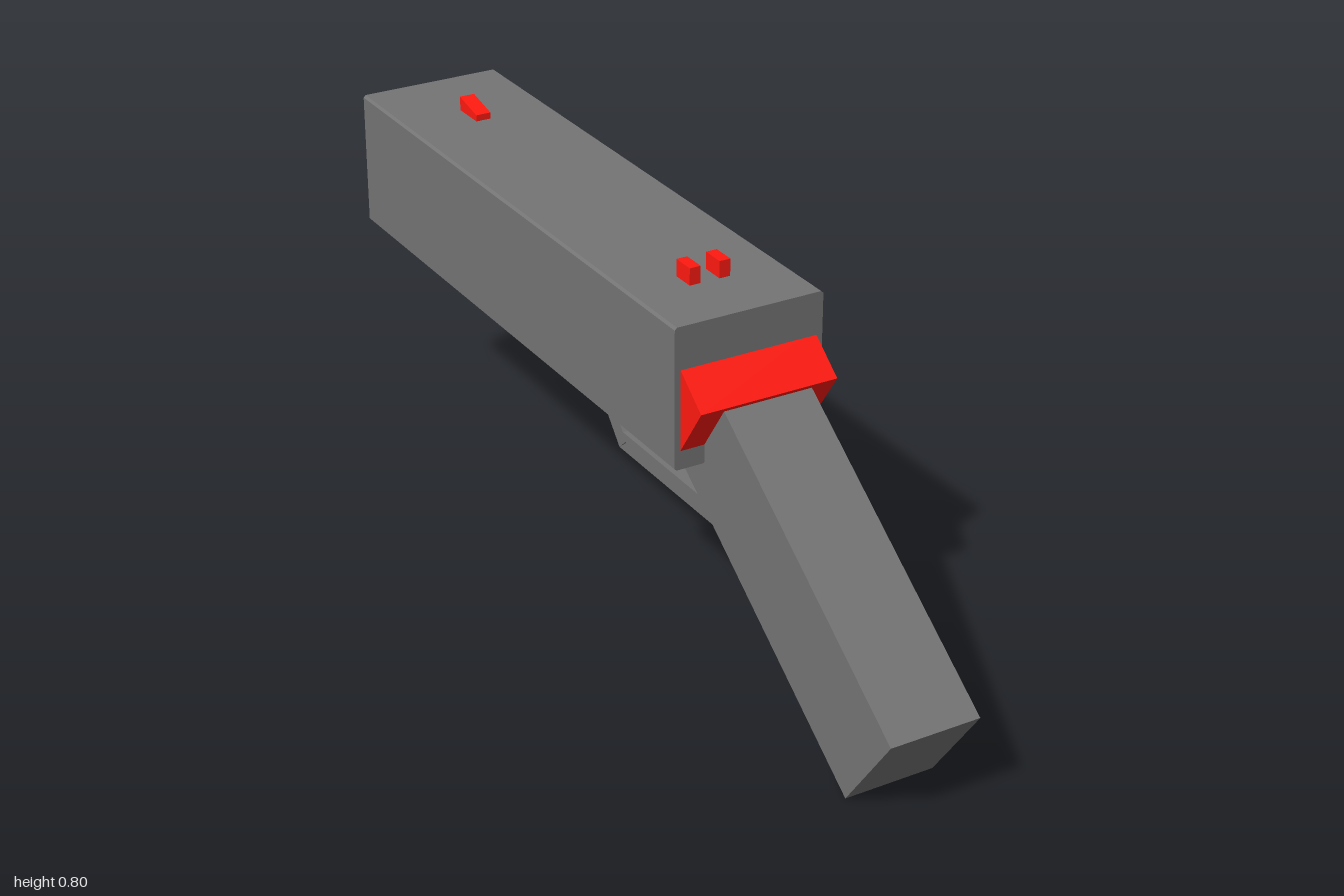
import * as THREE from 'three';

const material = (color) => new THREE.MeshStandardMaterial({ color, flatShading: true });
const grey = material(0x747474);
const red = material(0xff1a10);
const black = material(0x111111);

// Side profile of [z, y] points, extruded symmetrically across x
function sidePrism(name, points, halfWidth, mat, x = 0) {
  const shape = new THREE.Shape(points.map(([z, y]) => new THREE.Vector2(z, y)));
  const geometry = new THREE.ExtrudeGeometry(shape, { depth: halfWidth * 2, bevelEnabled: false });
  geometry.translate(0, 0, -halfWidth).rotateY(-Math.PI / 2);
  const mesh = new THREE.Mesh(geometry, mat);
  mesh.name = name;
  mesh.position.x = x;
  return mesh;
}

// Rectangular body section with slightly clipped long edges and an optional octagonal bore
function bodySection(name, z0, z1, boreRadius) {
  const w = 0.163, h = 0.15, c = 0.005;
  const corners = [[w, h - c], [w - c, h], [c - w, h], [-w, h - c], [-w, c - h], [c - w, -h], [w - c, -h], [w, c - h]];
  const shape = new THREE.Shape(corners.map(([x, y]) => new THREE.Vector2(x, y)));
  if (boreRadius) {
    const ring = [];
    for (let i = 0; i < 8; i++) {
      const a = (i / 8) * Math.PI * 2;
      ring.push(new THREE.Vector2(Math.cos(a) * boreRadius, Math.sin(a) * boreRadius));
    }
    shape.holes.push(new THREE.Path(ring));
  }
  const geometry = new THREE.ExtrudeGeometry(shape, { depth: z1 - z0, bevelEnabled: false });
  const mesh = new THREE.Mesh(geometry, grey);
  mesh.name = name;
  mesh.position.set(0, 0.61, z0);
  return mesh;
}

export function createModel() {
  const model = new THREE.Group();
  model.name = 'blockyToyBlaster';

  // Long box body, hollow at the muzzle end
  const body = new THREE.Group();
  body.name = 'body';
  body.add(bodySection('muzzleSection', -1, -0.6, 0.085), bodySection('mainSection', -0.6, 0.355));
  model.add(body);

  // Slanted grip, running up into the body
  model.add(sidePrism('grip', [[1, 0.19], [0.865, 0], [0.2, 0.475], [0.335, 0.665]], 0.097, grey));

  // Red wedge where the grip meets the body
  model.add(sidePrism('rearWedge', [[0.43, 0.61], [0.345, 0.678], [0.345, 0.485]], 0.15, red));

  // Guard: flat bar with an upturned end
  const guard = new THREE.Group();
  guard.name = 'triggerGuard';
  guard.add(
    sidePrism('guardBar', [[0.41, 0.328], [0.41, 0.368], [0.015, 0.368], [0.033, 0.35], [0.005, 0.328]], 0.085, grey),
    sidePrism('guardUpturn', [[0.033, 0.353], [0.005, 0.328], [-0.12, 0.47], [-0.073, 0.47]], 0.085, grey),
  );
  model.add(guard);

  // Trigger block between grip and guard
  model.add(sidePrism('trigger', [[0.35, 0.365], [0.165, 0.365], [0.165, 0.47], [0.3, 0.47]], 0.03, black));

  // Sights: a sloped post at the muzzle and a pair of blocks at the rear
  model.add(sidePrism('muzzleSight', [[-0.738, 0.75], [-0.738, 0.774], [-0.815, 0.791], [-0.815, 0.75]], 0.017, red));
  for (const side of [1, -1]) {
    model.add(sidePrism(side > 0 ? 'rearSightLeft' : 'rearSightRight',
      [[0.16, 0.75], [0.16, 0.796], [0.21, 0.796], [0.21, 0.75]], 0.012, red, side * 0.033));
  }
  return model;
}
